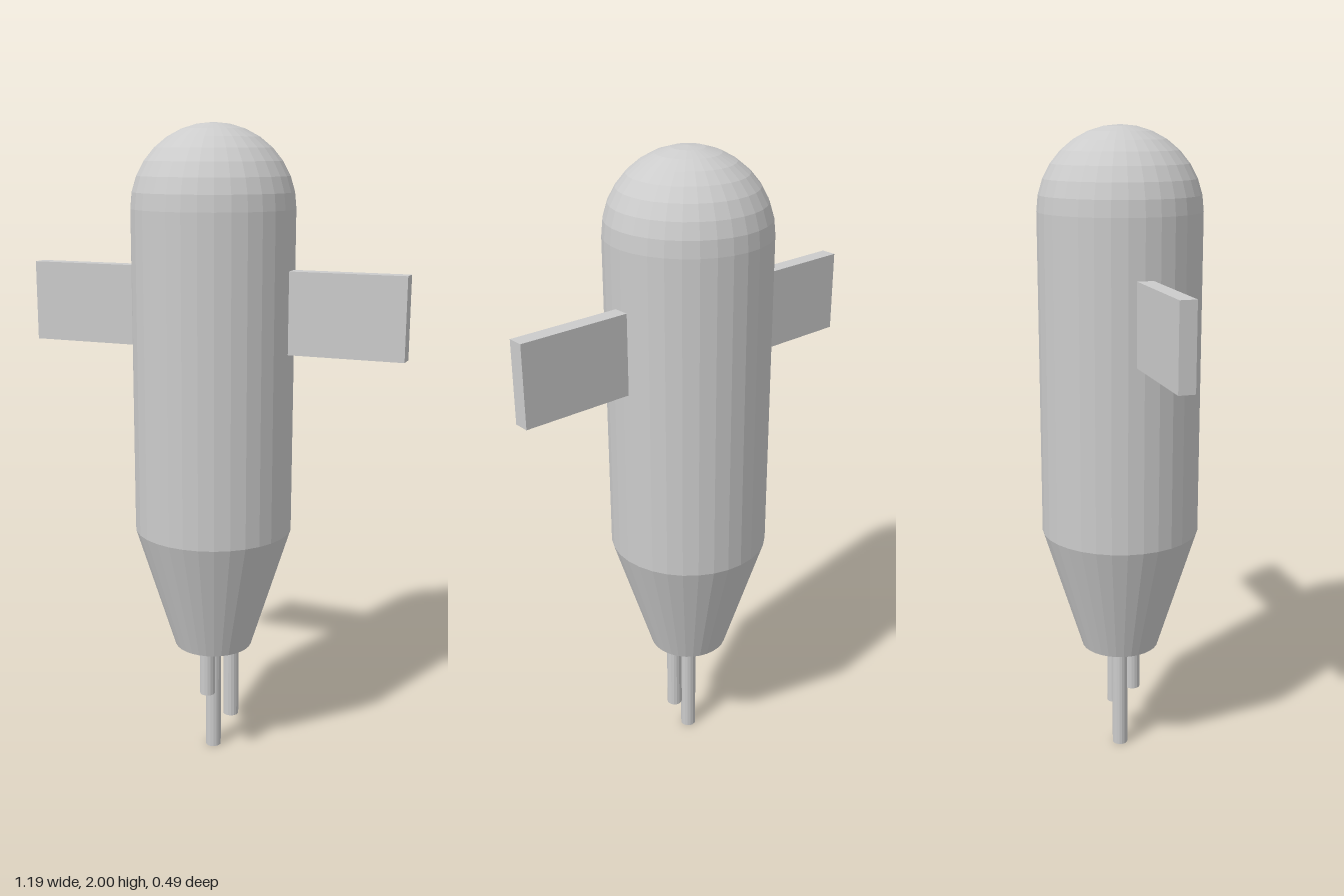
import * as THREE from 'three';

export function createModel() {
  const model = new THREE.Group();
  const material = new THREE.MeshStandardMaterial({ color: 0xcccccc, flatShading: true });
  const R = 0.246; // hull radius
  const SIDES = 32;

  function add(name, geometry, x, y, z) {
    const mesh = new THREE.Mesh(geometry, material);
    mesh.name = name;
    mesh.position.set(x, y, z);
    model.add(mesh);
    return mesh;
  }

  // Upright cylinder or frustum spanning two heights
  function column(name, rTop, rBottom, y0, y1, sides, open, x = 0, z = 0) {
    const geometry = new THREE.CylinderGeometry(rTop, rBottom, y1 - y0, sides, 1, open);
    return add(name, geometry, x, (y0 + y1) / 2, z);
  }

  // Hull: domed top, straight body, tapered tail and shallow pointed underside
  add('dome', new THREE.SphereGeometry(R, SIDES, 8, 0, Math.PI * 2, 0, Math.PI / 2), 0, 1.754, 0);
  column('body', R, R, 0.765, 1.754, SIDES, true);
  column('taperedTail', R, R / 2, 0.37, 0.765, SIDES, true);
  column('underside', R / 2, 0, 0.32, 0.37, SIDES, true);

  // Flat side fins touching the hull
  for (const [name, side] of [['leftFin', 1], ['rightFin', -1]]) {
    add(name, new THREE.BoxGeometry(0.35, 0.246, 0.049), side * 0.422, 1.457, 0);
  }

  // Thin hanging rods of different lengths: x, z, bottom height
  const rods = [
    ['centreRod', 0, 0, 0],
    ['sideRod', 0.062, 0, 0.125],
    ['frontRod', -0.004, 0.041, 0.203],
  ];
  for (const [name, x, z, bottom] of rods) {
    column(name, 0.0246, 0.0246, bottom, 0.37, 16, false, x, z);
  }

  return model;
}
